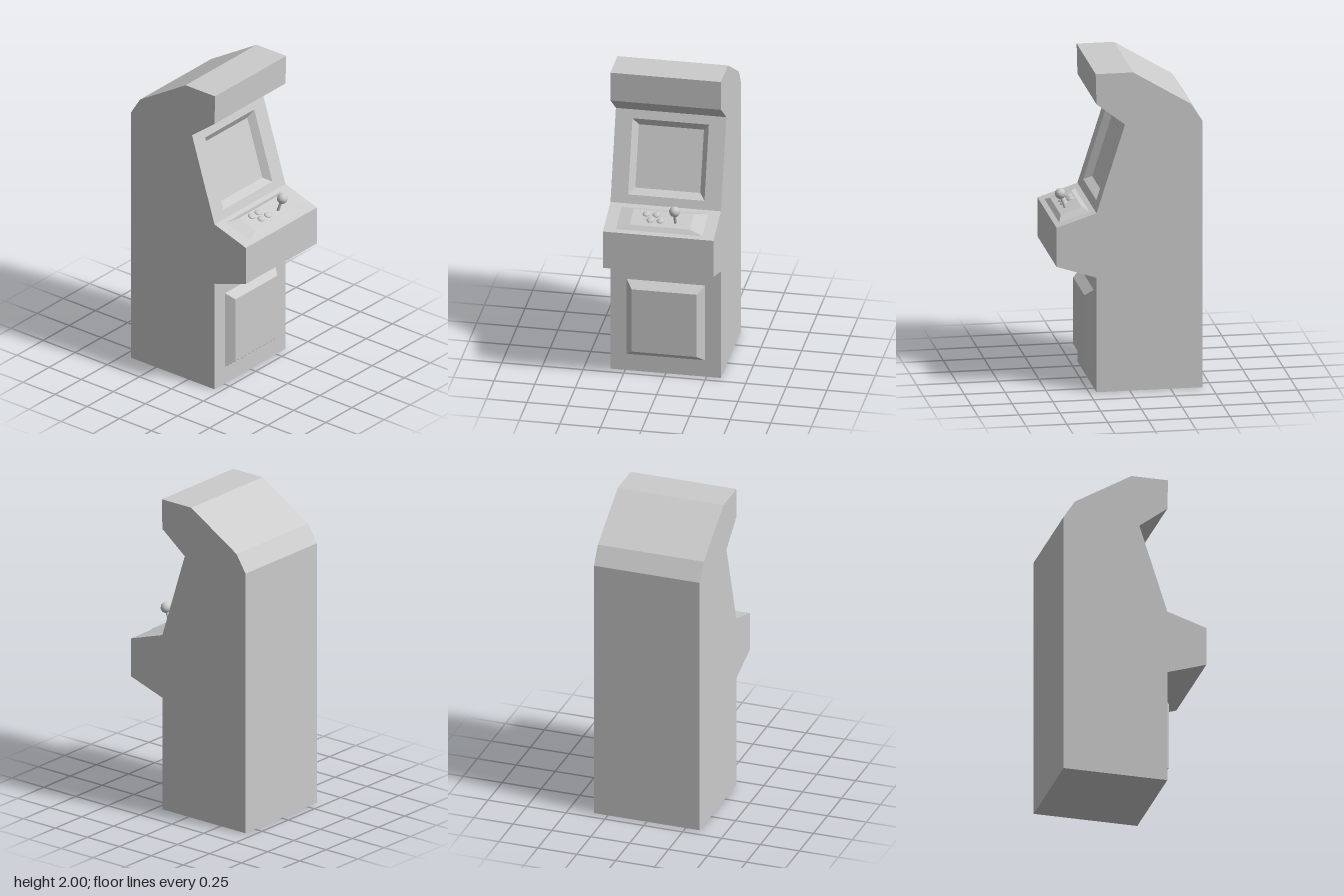
import * as THREE from 'three';

const WIDTH = 0.68;

// Cabinet side outline as [z, y], going up the front and down the back
const PROFILE = [
  [0.205, 0], [0.205, 0.72], [0.45, 0.8], [0.45, 1.045], [0.205, 1.125], [0.03, 1.675],
  [0.205, 1.81], [0.21, 2], [-0.02, 2], [-0.375, 1.785], [-0.445, 1.675], [-0.445, 0],
];
const STRIP_NAMES = [
  'lowerFront', 'consoleUnderside', 'consoleFront', 'controlDeck', 'screenSurround', 'marqueeUnderside',
  'marquee', 'roof', 'rearSlope', 'rearBevel', 'back', 'base',
];

const material = new THREE.MeshStandardMaterial({ color: 0xcccccc });

function add(parent, name, geometry) {
  const mesh = new THREE.Mesh(geometry, material);
  mesh.name = name;
  parent.add(mesh);
  return mesh;
}

const rectPoints = (w, h) => [[-1, -1], [1, -1], [1, 1], [-1, 1]].map(([x, y]) => new THREE.Vector2(x * w / 2, y * h / 2));

// Bevelled rectangle: outer edge at z = 0, inner face at z = depth (negative sinks in)
function bevelPanel(outerW, outerH, innerW, innerH, depth) {
  const outer = rectPoints(outerW, outerH).map(p => [p.x, p.y, 0]);
  const inner = rectPoints(innerW, innerH).map(p => [p.x, p.y, depth]);
  const pos = [];
  const quad = (a, b, c, d) => pos.push(...a, ...b, ...c, ...a, ...c, ...d);
  for (let i = 0; i < 4; i++) {
    const j = (i + 1) % 4;
    quad(outer[i], outer[j], inner[j], inner[i]);
  }
  quad(...inner);
  const geo = new THREE.BufferGeometry();
  geo.setAttribute('position', new THREE.Float32BufferAttribute(pos, 3));
  geo.computeVertexNormals();
  return geo;
}

export function createModel() {
  const model = new THREE.Group();
  model.name = 'arcadeCabinet';

  // One flat strip across the cabinet for each edge of the outline
  const strips = {};
  PROFILE.forEach(([z0, y0], i) => {
    const [z1, y1] = PROFILE[(i + 1) % PROFILE.length];
    const name = STRIP_NAMES[i];
    const length = Math.hypot(z1 - z0, y1 - y0);
    const shape = new THREE.Shape(rectPoints(WIDTH, length));
    if (name === 'screenSurround') shape.holes.push(new THREE.Path(rectPoints(0.47, 0.467)));
    const strip = new THREE.Group();
    strip.name = name;
    strip.position.set(0, (y0 + y1) / 2, (z0 + z1) / 2);
    strip.rotation.x = Math.atan2(z1 - z0, y1 - y0);
    add(strip, name + 'Face', new THREE.ShapeGeometry(shape));
    model.add(strip);
    strips[name] = strip;
  });

  // Side walls
  for (const side of [1, -1]) {
    const shape = new THREE.Shape(PROFILE.map(([z, y]) => new THREE.Vector2(-side * z, y)));
    const wall = add(model, side > 0 ? 'leftSide' : 'rightSide', new THREE.ShapeGeometry(shape).rotateY(side * Math.PI / 2));
    wall.position.x = side * WIDTH / 2;
  }

  // Sunken screen, raised control plate and raised service door
  add(strips.screenSurround, 'screen', bevelPanel(0.47, 0.467, 0.4, 0.388, -0.04));
  add(strips.controlDeck, 'controlPlate', bevelPanel(0.53, 0.195, 0.37, 0.137, 0.019));
  add(strips.lowerFront, 'serviceDoor', bevelPanel(0.48, 0.505, 0.4, 0.42, 0.05)).position.y = 0.0025;

  // Domed push buttons
  const buttonGeo = new THREE.SphereGeometry(0.024, 10, 8).scale(1, 1, 0.5);
  [[-0.1, 0.3], [-0.038, 0.3], [-0.067, 0.347], [-0.005, 0.347]].forEach(([x, z], i) => {
    const button = add(strips.controlDeck, 'button' + (i + 1), buttonGeo);
    button.position.set(x, (0.333 - z) * 1.05, 0.019);
  });

  // Joystick leaning towards the player
  const foot = new THREE.Vector3(0.088, 1.09, 0.35);
  const top = new THREE.Vector3(0.088, 1.187, 0.385);
  const stick = add(model, 'joystickShaft', new THREE.CylinderGeometry(0.008, 0.01, foot.distanceTo(top), 8));
  stick.position.copy(foot).lerp(top, 0.5);
  stick.quaternion.setFromUnitVectors(new THREE.Vector3(0, 1, 0), top.clone().sub(foot).normalize());
  add(model, 'joystickBall', new THREE.SphereGeometry(0.033, 10, 8)).position.copy(top);

  return model;
}
